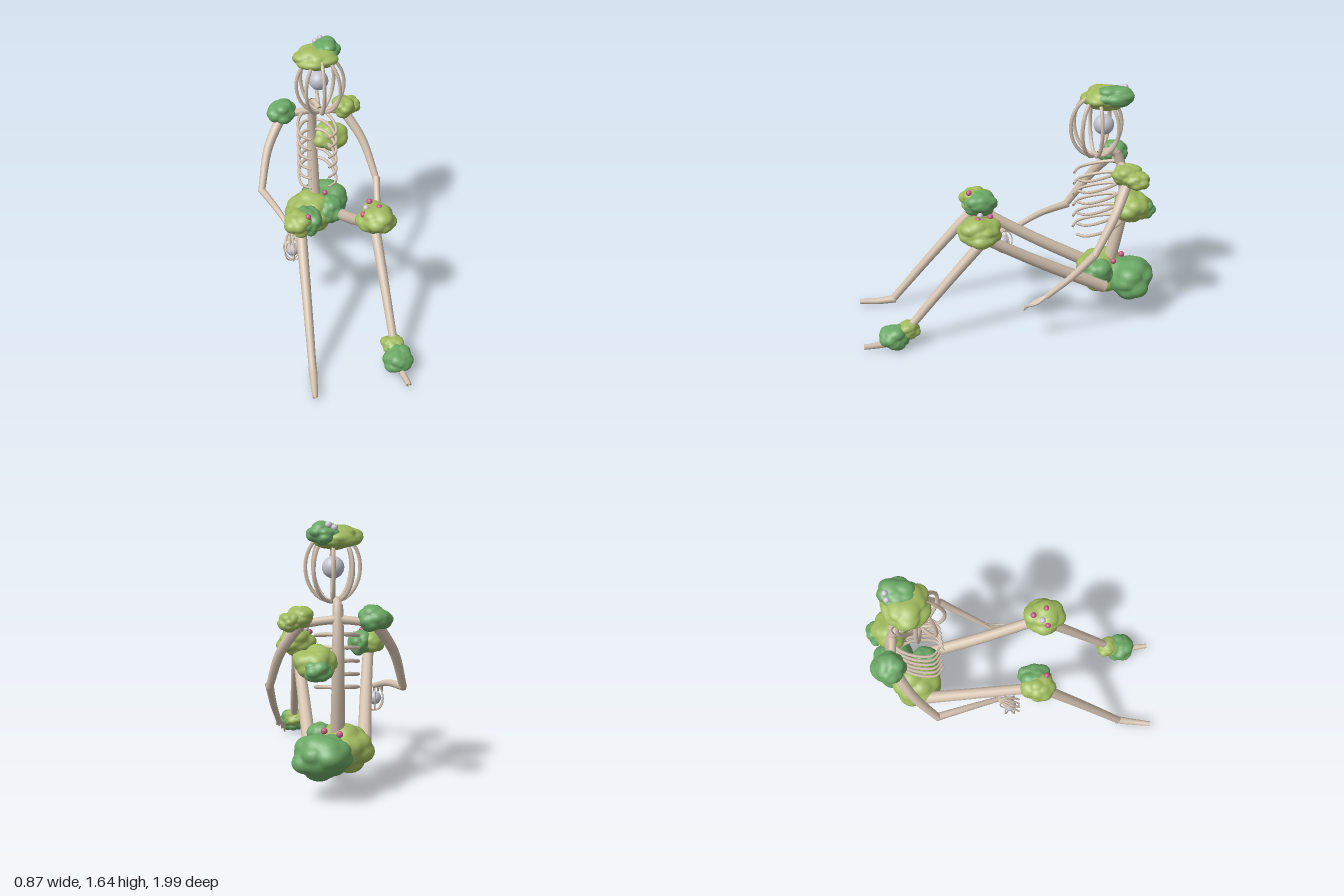
import * as THREE from 'three';
import { mergeVertices } from 'three/addons/utils/BufferGeometryUtils.js';

const mat = (name, color) => {
  const m = new THREE.MeshStandardMaterial({ color });
  m.name = name;
  return m;
};
const V = (a) => new THREE.Vector3(...a);

export function createModel() {
  const bone = mat('bone', 0xd4c2af);
  const light = mat('light moss', 0xa1bb5f);
  const dark = mat('dark moss', 0x6ba765);
  const orb = mat('grey orb', 0xc2c2cd);
  const pink = mat('pink berry', 0xc85a88);
  const pale = mat('pale berry', 0xd0c6d5);

  const root = new THREE.Group();
  root.name = 'seatedFigure';
  const add = (name, geo, material, parent = root) => {
    const m = new THREE.Mesh(geo, material);
    m.name = name;
    parent.add(m);
    return m;
  };
  const group = (name) => {
    const g = new THREE.Group();
    g.name = name;
    root.add(g);
    return g;
  };

  // Tapered, capped tube through points
  const limb = (name, pts, r0, r1, parent = root, sides = 10) => {
    const curve = new THREE.CatmullRomCurve3(pts.map(V));
    const seg = 18;
    const geo = new THREE.TubeGeometry(curve, seg, 1, sides);
    const p = geo.attributes.position;
    const v = new THREE.Vector3();
    for (let i = 0; i <= seg; i++) {
      const from = curve.getPointAt(i / seg);
      const u = THREE.MathUtils.clamp((i - 1) / (seg - 2), 0, 1);
      const to = curve.getPointAt(u);
      const r = i === 0 || i === seg ? 0 : r0 + (r1 - r0) * u;
      for (let j = 0; j <= sides; j++) {
        const k = i * (sides + 1) + j;
        v.fromBufferAttribute(p, k).sub(from).multiplyScalar(r).add(to);
        p.setXYZ(k, v.x, v.y, v.z);
      }
    }
    add(name, geo, bone, parent);
  };

  // Lumpy moss clump: sphere pushed out into seeded rounded lobes
  let seed = 7;
  const rnd = () => (seed = (seed * 16807) % 2147483647) / 2147483647;
  const moss = (name, c, s, material) => {
    let geo = new THREE.IcosahedronGeometry(1, 8);
    geo.deleteAttribute('normal');
    geo.deleteAttribute('uv');
    geo = mergeVertices(geo, 1e-4);
    const lobes = Array.from({ length: 34 }, () => {
      const y = rnd() * 2 - 1, a = rnd() * Math.PI * 2, q = Math.sqrt(1 - y * y);
      return { d: new THREE.Vector3(q * Math.cos(a), y, q * Math.sin(a)), h: 0.92 + 0.2 * rnd() };
    });
    const p = geo.attributes.position;
    const v = new THREE.Vector3();
    for (let i = 0; i < p.count; i++) {
      v.fromBufferAttribute(p, i).normalize();
      let r = 0.84;
      for (const l of lobes) r = Math.max(r, l.h - 1.3 * (1 - v.dot(l.d)));
      v.multiplyScalar(r);
      p.setXYZ(i, v.x * s[0] + c[0], v.y * s[1] + c[1], v.z * s[2] + c[2]);
    }
    geo.computeVertexNormals();
    add(name, geo, material);
  };

  // Ellipsoidal cage of curved bars around a ball
  const cage = (name, c, s, count, r, ballAt, ballR) => {
    const g = group(name);
    for (let i = 0; i < count; i++) {
      const a = (i / count) * Math.PI * 2;
      const pts = [];
      for (let k = 0; k <= 8; k++) {
        const t = -Math.PI / 2 + (k / 8) * Math.PI;
        pts.push([
          c[0] + s[0] * Math.cos(t) * Math.sin(a),
          c[1] + s[1] * Math.sin(t),
          c[2] + s[2] * Math.cos(t) * Math.cos(a),
        ]);
      }
      limb('cageBar', pts, r, r, g, 6);
    }
    add('cageBall', new THREE.SphereGeometry(ballR, 24, 16).translate(...ballAt), orb, g);
  };

  // Spine, neck and head
  limb('spine', [[0, 0.28, -0.67], [0, 0.5, -0.73], [0, 0.85, -0.785], [0, 1.08, -0.755], [0, 1.17, -0.72]], 0.046, 0.031);
  limb('neck', [[0, 1.15, -0.735], [0.005, 1.19, -0.67], [0.02, 1.18, -0.59]], 0.029, 0.017);
  cage('head', [0.025, 1.375, -0.57], [0.163, 0.207, 0.167], 8, 0.0125, [0.024, 1.38, -0.62], 0.066);

  for (const side of [-1, 1]) {
    // Ribs, open at the front
    const ribs = group(side > 0 ? 'leftRibs' : 'rightRibs');
    for (let i = 0; i < 6; i++) {
      const y = 1.085 - i * 0.079;
      limb('rib', [[0, y, -0.77], [side * 0.07, y - 0.005, -0.74], [side * 0.122, y - 0.028, -0.64],
        [side * 0.12, y - 0.055, -0.5], [side * 0.06, y - 0.065, -0.455]], 0.013, 0.009, ribs, 6);
    }
    // Collarbone and upper arm
    limb('collarbone', [[0, 1.09, -0.75], [side * 0.1, 1.08, -0.75], [side * 0.22, 1.06, -0.75]], 0.026, 0.024);
    limb('upperArm', [[side * 0.21, 1.08, -0.75], [side * 0.335, 0.88, -0.635], [side * 0.41, 0.63, -0.485]], 0.037, 0.024);
    // Thigh, shin and foot
    limb('thigh', [[side * 0.165, 0.27, -0.63], [side * 0.2, 0.5, -0.2], [side * 0.24, 0.74, 0.2]], 0.043, 0.035);
    limb('shin', [[side * 0.24, 0.74, 0.18], [side * 0.256, 0.4, 0.48], [side * 0.272, 0.055, 0.77]], 0.036, 0.025);
    limb('foot', [[side * 0.27, 0.06, 0.75], [side * 0.282, 0.045, 0.87], [side * 0.297, 0.045, 0.995]], 0.028, 0.017);
  }

  // Hanging forearm and hand on the left
  limb('leftForearm', [[0.41, 0.645, -0.49], [0.39, 0.49, -0.35], [0.36, 0.34, -0.19]], 0.026, 0.018);
  const leftHand = group('leftHand');
  for (let i = 0; i < 4; i++) {
    const k = i - 1.5;
    limb('finger', [[0.36, 0.35, -0.2], [0.352 + k * 0.014, 0.3, -0.12], [0.352 + k * 0.018, 0.232 + i * 0.02, -0.045]], 0.01, 0.006, leftHand, 6);
  }

  // Raised forearm and hand holding the lantern
  limb('rightForearm', [[-0.41, 0.63, -0.5], [-0.335, 0.605, -0.28], [-0.26, 0.545, -0.09]], 0.026, 0.017);
  const rightHand = group('rightHand');
  for (let i = 0; i < 4; i++) {
    const k = i - 1.5;
    limb('finger', [[-0.262, 0.55, -0.1], [-0.28 + k * 0.022, 0.535, -0.01], [-0.285 + k * 0.028, 0.475, 0.055]], 0.01, 0.006, rightHand, 6);
  }
  cage('lantern', [-0.27, 0.445, -0.012], [0.064, 0.085, 0.064], 6, 0.0045, [-0.27, 0.445, -0.012], 0.044);

  // Moss clumps
  moss('headMossLight', [0.01, 1.555, -0.62], [0.155, 0.075, 0.14], light);
  moss('headMossDark', [0.08, 1.585, -0.67], [0.095, 0.07, 0.125], dark);
  moss('rightShoulderMoss', [-0.213, 1.095, -0.75], [0.1, 0.08, 0.1], dark);
  moss('leftShoulderMoss', [0.215, 1.1, -0.74], [0.085, 0.07, 0.1], light);
  moss('leftShoulderMossOuter', [0.28, 1.085, -0.78], [0.075, 0.06, 0.085], light);
  moss('backMossLight', [0.13, 0.84, -0.79], [0.13, 0.105, 0.125], light);
  moss('backMossDark', [0.12, 0.815, -0.885], [0.085, 0.065, 0.075], dark);
  moss('hipMossLight', [-0.04, 0.295, -0.66], [0.175, 0.145, 0.18], light);
  moss('hipMossDark', [0.095, 0.28, -0.82], [0.18, 0.138, 0.175], dark);
  moss('hipMossSide', [0.1, 0.335, -0.6], [0.09, 0.1, 0.11], dark);
  moss('rightKneeMossLight', [-0.25, 0.79, 0.175], [0.1, 0.085, 0.11], light);
  moss('rightKneeMossDark', [-0.183, 0.785, 0.155], [0.085, 0.085, 0.12], dark);
  moss('leftKneeMoss', [0.25, 0.79, 0.22], [0.13, 0.095, 0.14], light);
  moss('ankleMossLight', [0.26, 0.13, 0.7], [0.08, 0.058, 0.075], light);
  moss('ankleMossDark', [0.268, 0.09, 0.79], [0.1, 0.082, 0.105], dark);

  // Small berries resting on the moss
  const berries = [
    [0.215, 0.875, 0.15, pink], [0.155, 0.845, 0.245, pink], [0.26, 0.88, 0.235, pink], [0.18, 0.87, 0.21, pale],
    [-0.2, 0.86, 0.23, pink], [-0.01, 0.41, -0.79, pink], [0.08, 0.41, -0.71, pink],
    [0.02, 1.62, -0.73, pale], [0.055, 1.637, -0.74, pale],
  ];
  for (const [x, y, z, m] of berries) add('berry', new THREE.SphereGeometry(0.02, 12, 8).translate(x, y, z), m);

  return root;
}
